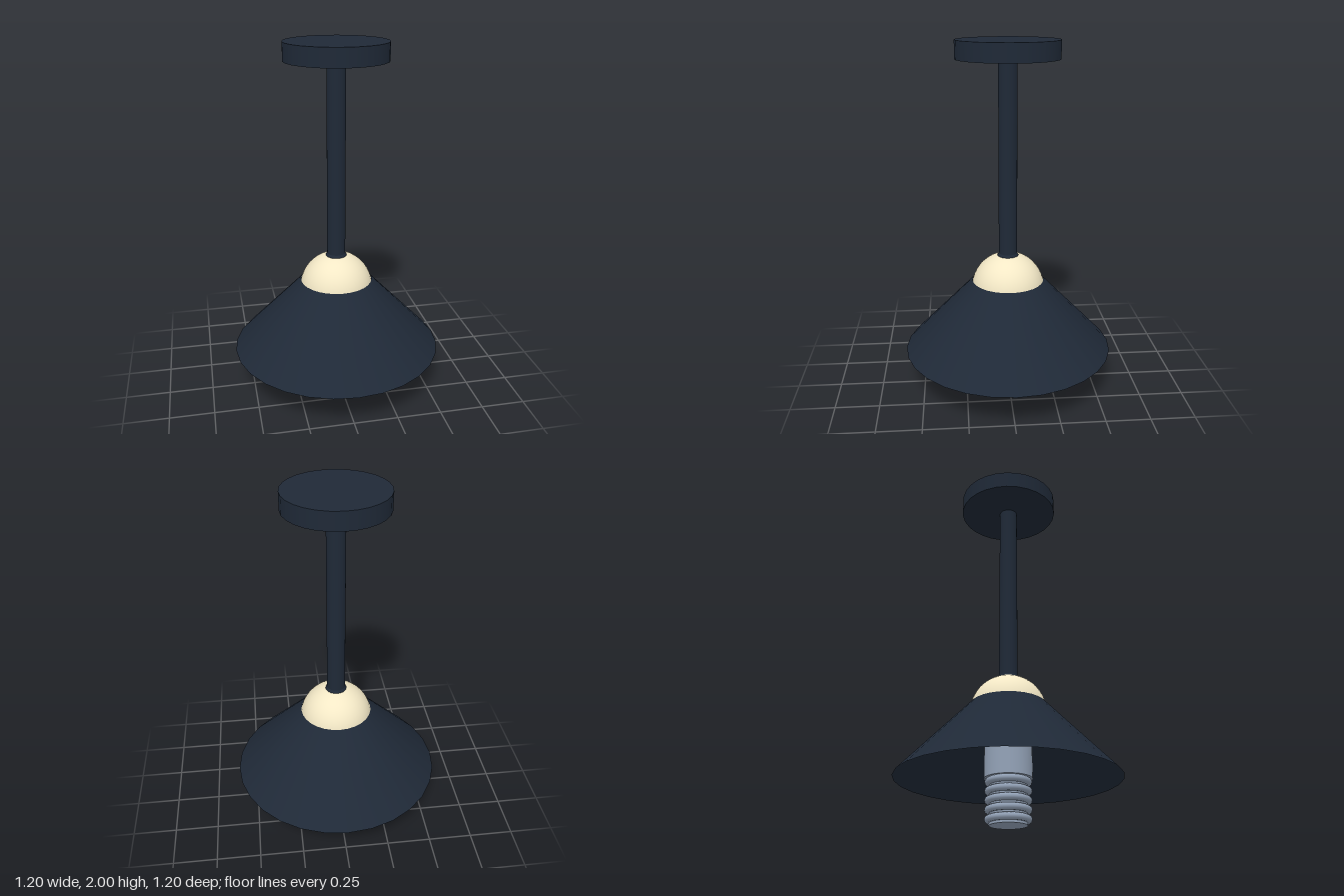
import * as THREE from 'three';

const navy = new THREE.MeshStandardMaterial({ color: 0x1f2937 });
const navyThin = new THREE.MeshStandardMaterial({ color: 0x1f2937, side: THREE.DoubleSide });
const cream = new THREE.MeshStandardMaterial({ color: 0xf3e8c6 });
const steel = new THREE.MeshStandardMaterial({ color: 0x94a3b8 });

export function createModel() {
  const group = new THREE.Group();

  const add = (name, geometry, material, y) => {
    const mesh = new THREE.Mesh(geometry, material);
    mesh.name = name;
    mesh.position.y = y;
    group.add(mesh);
    return mesh;
  };

  // Upright round part spanning y0 to y1
  const round = (name, rTop, rBottom, y0, y1, material, sides = 28, open = false) =>
    add(name, new THREE.CylinderGeometry(rTop, rBottom, y1 - y0, sides, 1, open), material, (y0 + y1) / 2);

  // Ceiling mount and hanging rod
  round('ceilingPlate', 0.282, 0.282, 1.9, 2, navy);
  round('rod', 0.052, 0.052, 0.78, 1.9, navy, 20);
  round('rodCollar', 0.052, 0.067, 0.79, 0.815, navy, 20);

  // Globe with the open conical shade around it
  add('globe', new THREE.SphereGeometry(0.21, 36, 24), cream, 0.6);
  round('shade', 0.205, 0.6, 0.235, 0.65, navyThin, 28, true);

  // Socket below the globe, with a ringed screw end
  round('socketSleeve', 0.128, 0.128, 0.24, 0.45, steel);
  round('screwCore', 0.1, 0.1, 0, 0.26, steel);
  for (let i = 0; i < 5; i++) {
    const ring = add('screwThread', new THREE.TorusGeometry(0.105, 0.019, 10, 32), steel, 0.031 + i * 0.048);
    ring.rotation.x = Math.PI / 2;
  }

  return group;
}
